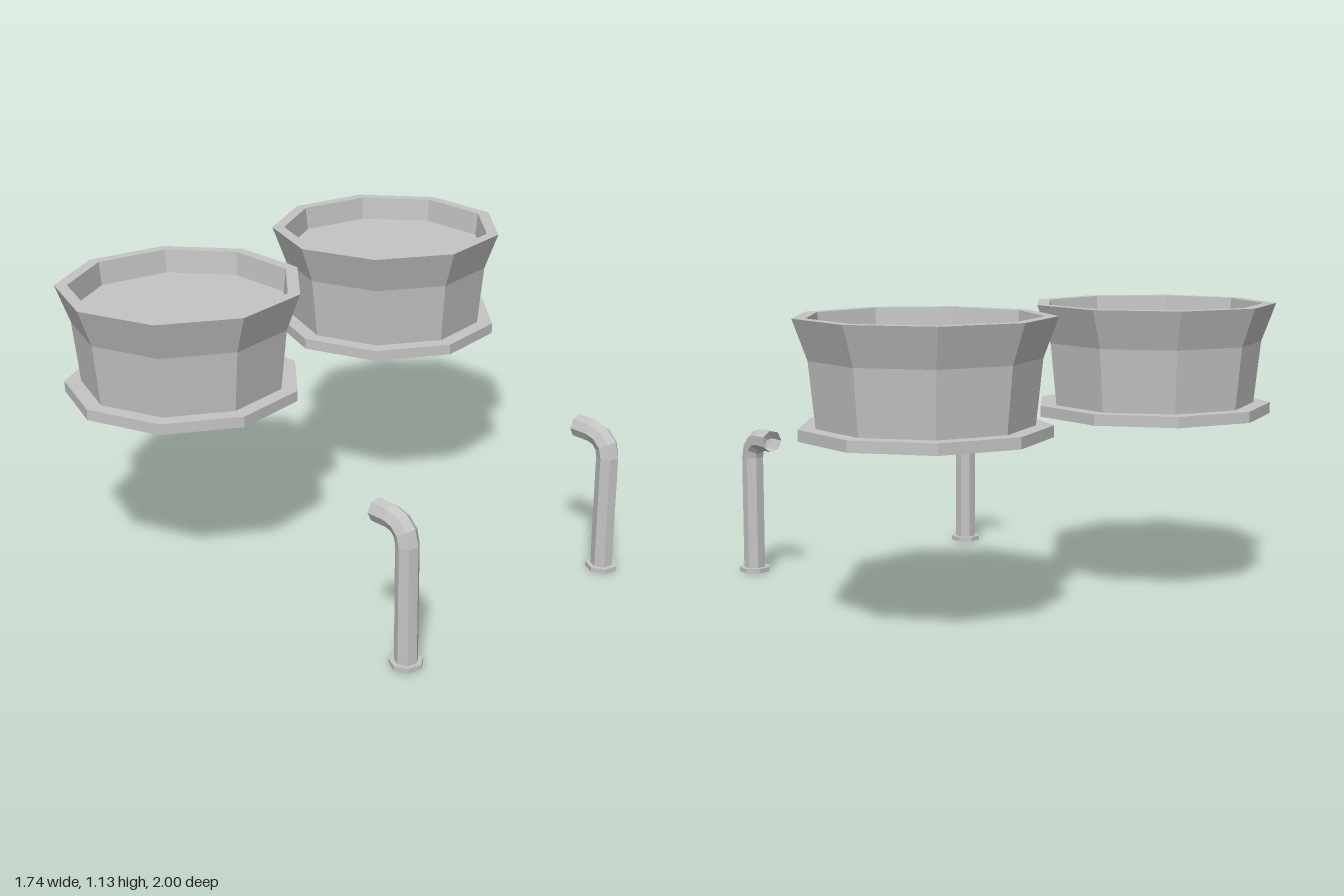
import * as THREE from 'three';

export function createModel() {
  const model = new THREE.Group();
  const grey = new THREE.MeshStandardMaterial({ color: 0xc4c4c4, flatShading: true, side: THREE.DoubleSide });
  grey.name = 'plainGrey';

  // Open-bottomed shell turned around y, faceted with one corner facing +z
  function turned(profile, sides, name) {
    const pts = profile.map(([r, y]) => new THREE.Vector2(r, y));
    const mesh = new THREE.Mesh(new THREE.LatheGeometry(pts, sides), grey);
    mesh.name = name;
    return mesh;
  }

  // Seven-sided spout: straight riser, three-segment elbow, short horizontal outlet
  function spoutGeometry() {
    const sides = 7, radius = 0.044, bend = 0.08, bendY = 0.476;
    const rings = [[0, 0.018, 0]];
    for (let i = 0; i <= 3; i++) {
      const a = (i / 3) * Math.PI / 2;
      rings.push([bend * (Math.cos(a) - 1), bendY + bend * Math.sin(a), a]);
    }
    rings.push([-0.154, bendY + bend, Math.PI / 2]);

    const positions = [], index = [];
    for (const [x, y, a] of rings) {
      for (let j = 0; j < sides; j++) {
        const phi = (j / sides) * Math.PI * 2, s = radius * Math.sin(phi);
        positions.push(x + s * Math.cos(a), y + s * Math.sin(a), radius * Math.cos(phi));
      }
    }
    for (let i = 0; i < rings.length - 1; i++) {
      for (let j = 0; j < sides; j++) {
        const k = (j + 1) % sides;
        const p = i * sides + j, q = i * sides + k;
        index.push(p, q, q + sides, p, q + sides, p + sides);
      }
    }
    const g = new THREE.BufferGeometry();
    g.setAttribute('position', new THREE.Float32BufferAttribute(positions, 3));
    g.setIndex(index);
    g.computeVertexNormals();
    return g;
  }

  const spoutShape = spoutGeometry();

  [0.527, -0.556].forEach((z, i) => {
    const side = i === 0 ? 'front' : 'back';

    // Basin: foot flange, flared wall, rim and sunken floor
    const basin = turned([
      [0.457, 0.70], [0.457, 0.742], [0.393, 0.742], [0.418, 0.98],
      [0.4725, 1.127], [0.424, 1.127], [0.414, 1.035], [0, 1.035],
    ], 9, side + 'Basin');
    basin.position.set(-0.407, 0, z);
    model.add(basin);

    // Bent pipe on its small foot flange
    const pipe = new THREE.Group();
    pipe.name = side + 'Pipe';
    const spout = new THREE.Mesh(spoutShape, grey);
    spout.name = side + 'Spout';
    pipe.add(spout, turned([[0.063, 0], [0.063, 0.018], [0.044, 0.018]], 7, side + 'PipeFlange'));
    pipe.position.set(0.808, 0, z);
    model.add(pipe);
  });

  return model;
}
